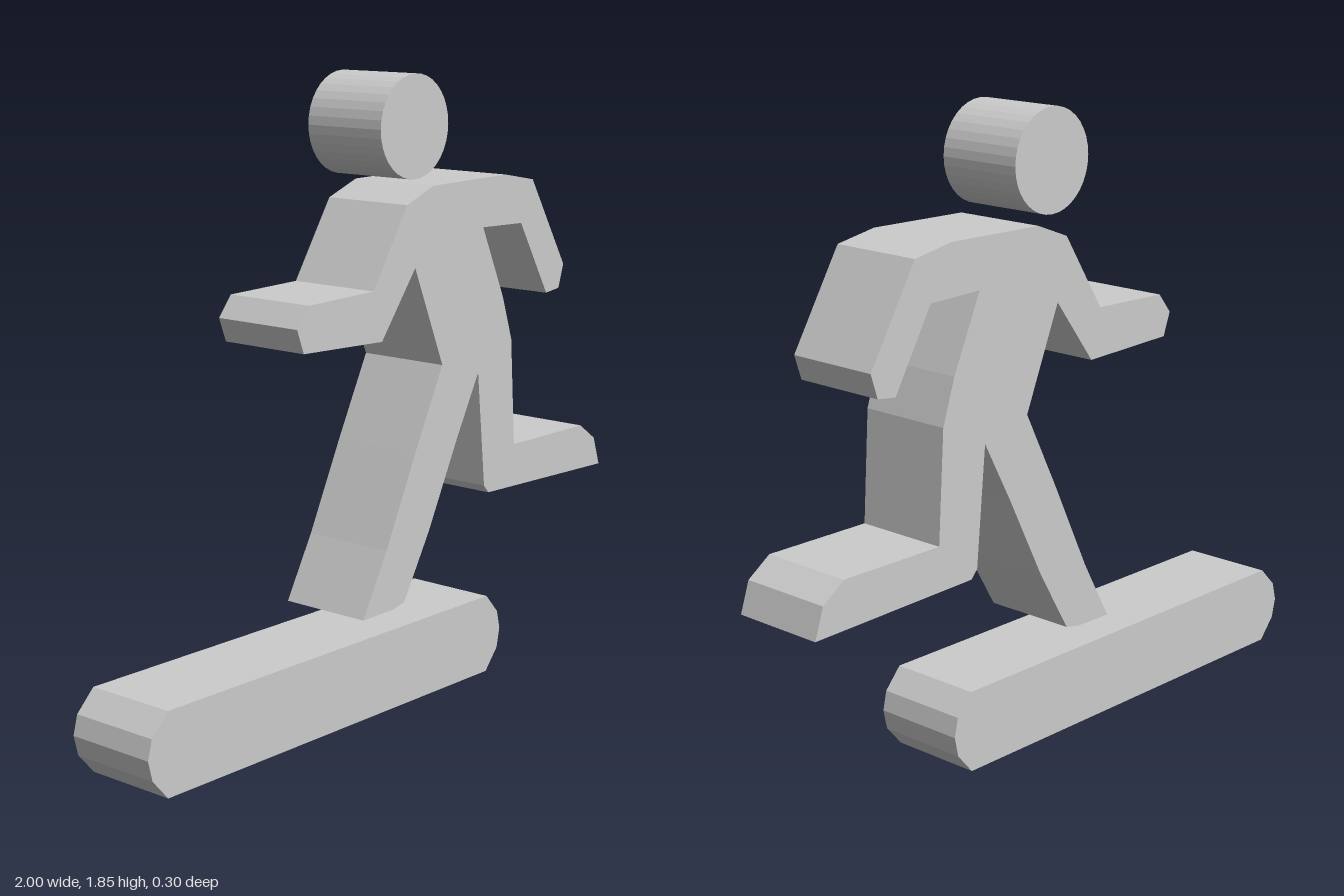
import * as THREE from 'three';

const material = new THREE.MeshStandardMaterial({ color: 0xcccccc, flatShading: true });

// Straight slab from an outline in the xy plane, between two depths
function slab(name, outline, back, front) {
  const shape = new THREE.Shape(outline.map(([x, y]) => new THREE.Vector2(x, y)));
  const geometry = new THREE.ExtrudeGeometry(shape, { depth: front - back, bevelEnabled: false });
  geometry.translate(0, 0, back);
  const mesh = new THREE.Mesh(geometry, material);
  mesh.name = name;
  return mesh;
}

export function createModel() {
  const group = new THREE.Group();
  group.name = 'runningFigureOnBoard';

  // Running figure: torso, arms and legs in one silhouette
  const body = [
    // shoulders and trailing arm
    [0.03, 1.48], [0.147, 1.525], [0.485, 1.53], [0.62, 1.505],
    [0.785, 1.23], [0.762, 1.158], [0.698, 1.15], [0.565, 1.378], [0.38, 1.383],
    // back and raised leg
    [0.48, 1.163], [0.524, 1.03], [0.545, 0.7], [0.895, 0.7], [0.97, 0.647],
    [1.0, 0.557], [0.42, 0.572], [0.398, 0.597], [0.363, 0.95],
    // standing leg
    [0.265, 0.767], [0.136, 0.51], [0.024, 0.318], [-0.025, 0.307], [-0.158, 0.305],
    [-0.056, 0.49], [0.072, 0.757], [0.193, 0.998],
    // leading arm
    [0.067, 1.297], [-0.078, 1.104], [-0.404, 1.115], [-0.43, 1.185],
    [-0.382, 1.245], [-0.115, 1.252],
  ];
  group.add(slab('body', body, -0.145, 0.149));

  // Board with faceted round ends
  const board = [
    [-0.93, 0], [0.43, 0], [0.484, 0.063], [0.497, 0.123], [0.484, 0.18], [0.43, 0.241],
    [-0.925, 0.241], [-0.985, 0.18], [-1, 0.123], [-0.985, 0.063],
  ];
  group.add(slab('board', board, -0.149, 0.139));

  // Head: disc facing the front
  const head = new THREE.Mesh(new THREE.CylinderGeometry(0.149, 0.149, 0.271, 36), material);
  head.name = 'head';
  head.rotation.x = Math.PI / 2;
  head.position.set(0.083, 1.696, -0.003);
  group.add(head);

  return group;
}
